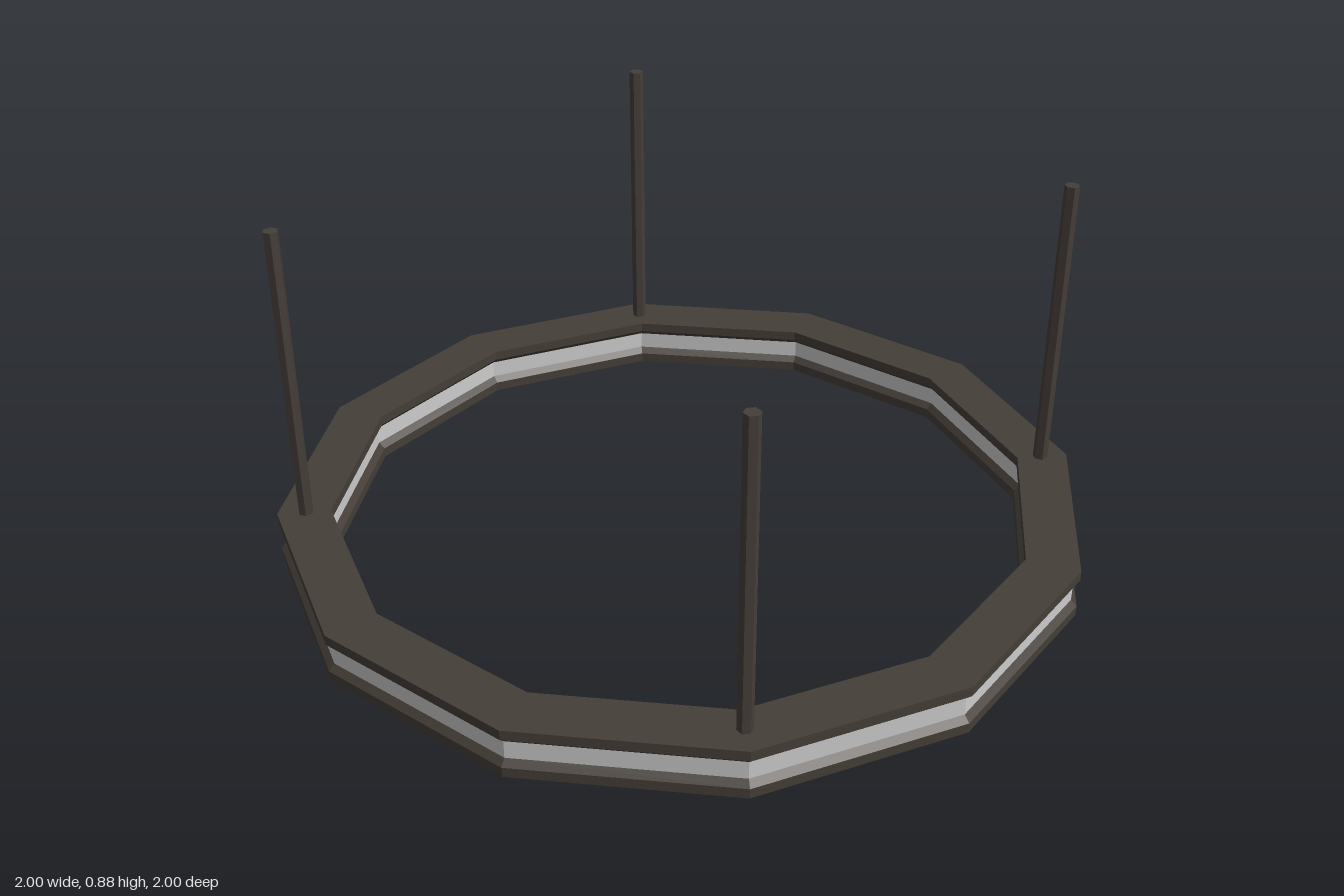
import * as THREE from 'three';

const SIDES = 12;

// Twelve-sided ring swept from a closed counter-clockwise (radius, height) section
function ring(name, section, material) {
  const points = [...section, section[0]].map(([r, y]) => new THREE.Vector2(r, y));
  const mesh = new THREE.Mesh(new THREE.LatheGeometry(points, SIDES), material);
  mesh.name = name;
  return mesh;
}

export function createModel() {
  const model = new THREE.Group();
  model.name = 'ringPendantLight';
  const metal = new THREE.MeshStandardMaterial({ color: 0x453e38, flatShading: true });
  const glow = new THREE.MeshStandardMaterial({ color: 0xcccccc, flatShading: true });

  // Upper and lower frame rings, chamfered towards the light band
  model.add(ring('upperFrame', [
    [0.985, 0.085], [1, 0.1], [1, 0.125], [0.87, 0.125], [0.87, 0.1], [0.885, 0.085],
  ], metal));
  model.add(ring('lowerFrame', [
    [0.87, 0], [1, 0], [1, 0.025], [0.985, 0.04], [0.885, 0.04], [0.87, 0.025],
  ], metal));

  // Recessed light band showing on the outside and the inside
  model.add(ring('lightBand', [
    [0.885, 0.04], [0.985, 0.04], [0.985, 0.085], [0.885, 0.085],
  ], glow));

  // Four six-sided hanging rods
  const rodGeometry = new THREE.CylinderGeometry(0.0185, 0.0185, 0.76, 6);
  for (let i = 0; i < 4; i++) {
    const pivot = new THREE.Group();
    pivot.name = `hangingRod${i + 1}`;
    const rod = new THREE.Mesh(rodGeometry, metal);
    rod.name = 'rod';
    rod.position.set(0.93, 0.5, 0);
    pivot.add(rod);
    pivot.rotation.y = (i * Math.PI) / 2;
    model.add(pivot);
  }
  return model;
}
